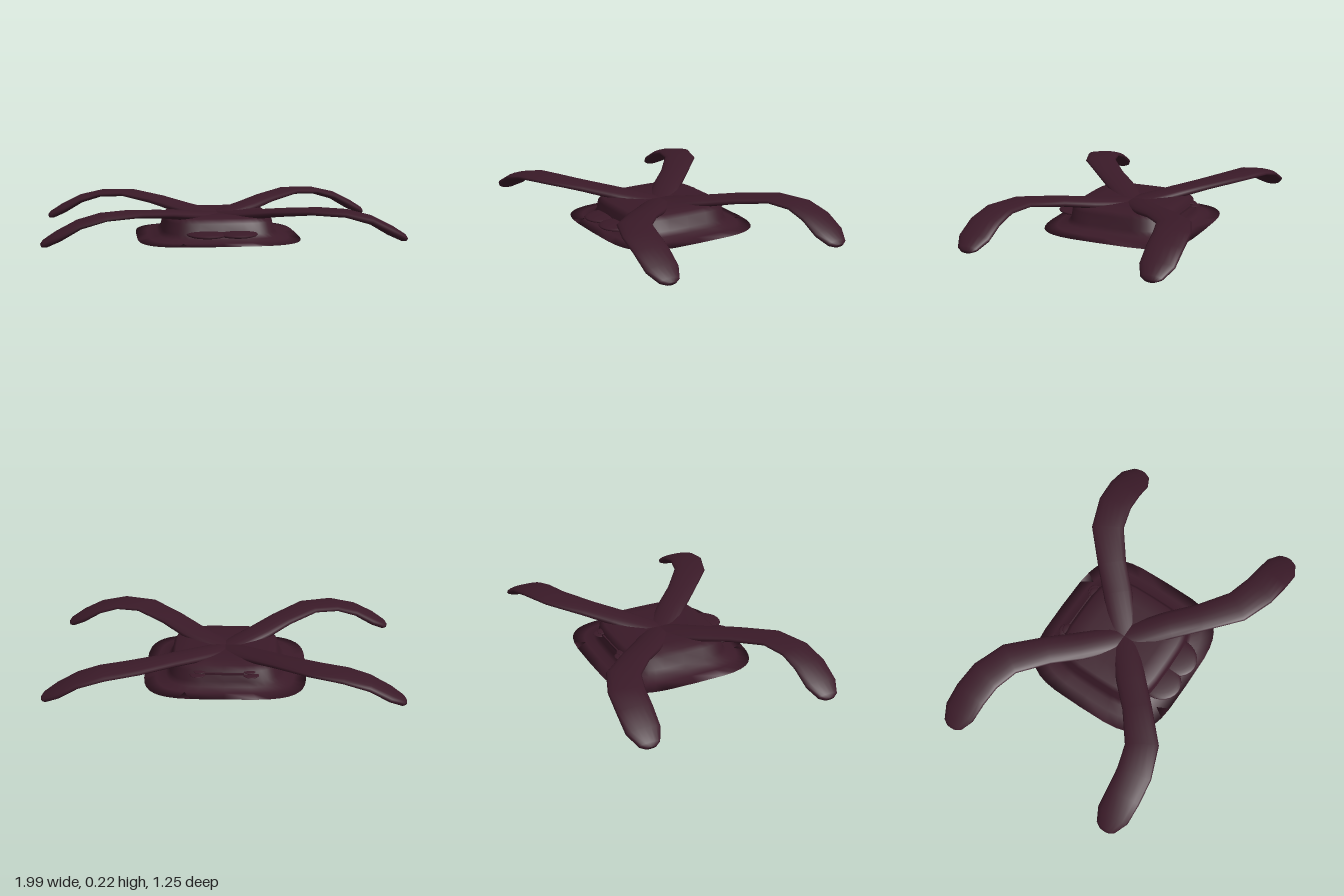
import * as THREE from 'three';

const material = new THREE.MeshStandardMaterial({ color: 0x3a1a28 });

// Skins closed rings of points, closing each end with a centre point
function loft(rings) {
  const n = rings[0].length;
  const pos = [], index = [];
  rings.forEach(ring => ring.forEach(p => pos.push(p.x, p.y, p.z)));
  for (let i = 0; i < rings.length - 1; i++) {
    for (let j = 0; j < n; j++) {
      const a = i * n + j, b = i * n + (j + 1) % n;
      index.push(a, b, a + n, b, b + n, a + n);
    }
  }
  const last = (rings.length - 1) * n;
  [0, last].forEach(base => {
    const c = new THREE.Vector3();
    rings[base / n].forEach(p => c.addScaledVector(p, 1 / n));
    const centre = pos.length / 3;
    pos.push(c.x, c.y, c.z);
    for (let j = 0; j < n; j++) {
      const a = base + j, b = base + (j + 1) % n;
      if (base === 0) index.push(centre, b, a);
      else index.push(centre, a, b);
    }
  });
  const geometry = new THREE.BufferGeometry();
  geometry.setAttribute('position', new THREE.Float32BufferAttribute(pos, 3));
  geometry.setIndex(index);
  geometry.computeVertexNormals();
  return geometry;
}

// Rounded-square ring lying flat at height y
function squareRing(hx, hz, y, n = 40) {
  const soft = v => Math.sign(v) * Math.sqrt(Math.abs(v));
  return Array.from({ length: n }, (_, j) => {
    const a = (j / n) * Math.PI * 2;
    return new THREE.Vector3(hx * soft(Math.cos(a)), y, -hz * soft(Math.sin(a)));
  });
}

// Arm stations: x, y, z, half width, half thickness
const ARM = [
  [0, 0.108, 0, 0.08, 0.03],
  [0.2, 0.143, 0.18, 0.085, 0.028],
  [0.33, 0.171, 0.31, 0.084, 0.024],
  [0.5, 0.196, 0.455, 0.095, 0.02],
  [0.66, 0.19, 0.51, 0.1, 0.02],
  [0.79, 0.155, 0.525, 0.1, 0.024],
  [0.9, 0.095, 0.53, 0.096, 0.028],
  [0.972, 0.056, 0.53, 0.06, 0.022],
  [0.99, 0.046, 0.53, 0.03, 0.012],
];

function armGeometry(sx, sz, n = 16) {
  const path = ARM.map(([x, y, z]) => new THREE.Vector3(x * sx, y, z * sz));
  const up = new THREE.Vector3(0, 1, 0);
  return loft(path.map((p, i) => {
    const before = path[Math.max(i - 1, 0)];
    const after = path[Math.min(i + 1, path.length - 1)];
    const tangent = after.clone().sub(before).normalize();
    const side = up.clone().cross(tangent).normalize();
    const normal = tangent.clone().cross(side);
    const [, , , w, t] = ARM[i];
    return Array.from({ length: n }, (_, j) => {
      const a = (j / n) * Math.PI * 2;
      return p.clone()
        .addScaledVector(side, w * Math.cos(a))
        .addScaledVector(normal, t * Math.sin(a));
    });
  }));
}

export function createModel() {
  const model = new THREE.Group();
  const add = (name, geometry, x = 0, y = 0, z = 0) => {
    const mesh = new THREE.Mesh(geometry, material);
    mesh.name = name;
    mesh.position.set(x, y, z);
    model.add(mesh);
    return mesh;
  };

  // Hull with its thin flared skirt
  add('body', loft([
    squareRing(0.4, 0.38, 0),
    squareRing(0.468, 0.446, 0.004),
    squareRing(0.4, 0.385, 0.013),
    squareRing(0.345, 0.335, 0.026),
    squareRing(0.322, 0.317, 0.05),
    squareRing(0.308, 0.31, 0.11),
    squareRing(0.288, 0.285, 0.135),
    squareRing(0.2, 0.2, 0.141),
    squareRing(0.08, 0.08, 0.138),
  ]));

  // Four drooping arms
  for (const sx of [1, -1]) {
    for (const sz of [1, -1]) {
      add((sz > 0 ? 'front' : 'back') + (sx > 0 ? 'Left' : 'Right') + 'Arm', armGeometry(sx, sz));
    }
  }

  const disc = (rx, ry, rz) => new THREE.SphereGeometry(1, 24, 12).scale(rx, ry, rz);
  for (const s of [1, -1]) {
    const label = s > 0 ? 'left' : 'right';
    // Paired flat lobes on the front
    add(label + 'FrontLobe', disc(0.115, 0.018, 0.128), s * 0.085, 0.053, 0.308);
    // Small stacked fins on the back
    add(label + 'LowerFin', disc(0.045, 0.006, 0.045), s * 0.15, 0.09, -0.308);
    add(label + 'UpperFin', disc(0.035, 0.005, 0.035), s * 0.14, 0.108, -0.3);
  }
  add('backStrip', new THREE.BoxGeometry(0.22, 0.012, 0.03), 0, 0.098, -0.303);

  return model;
}
